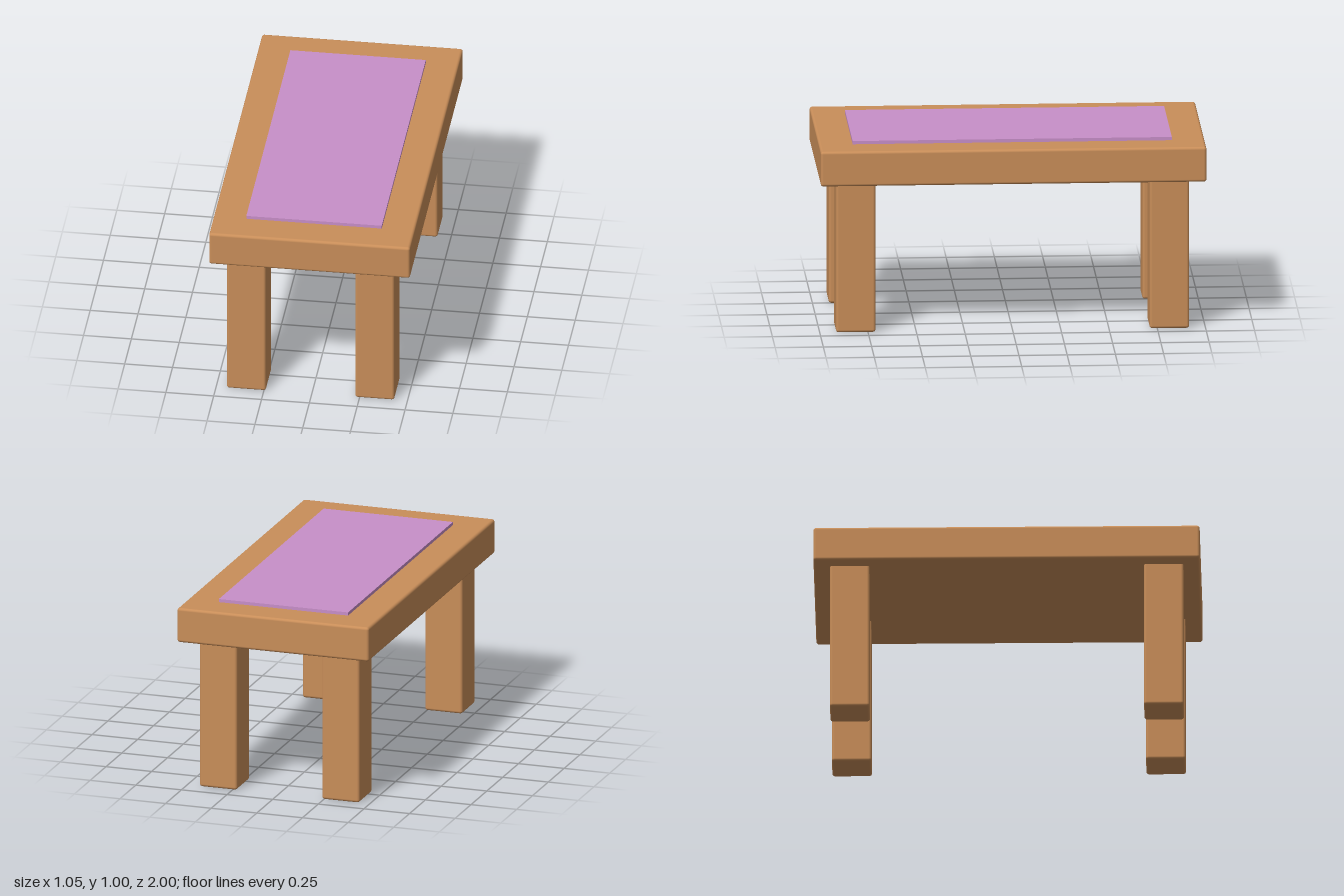
import * as THREE from 'three';
import { RoundedBoxGeometry } from 'three/addons/geometries/RoundedBoxGeometry.js';

export function createModel() {
  const table = new THREE.Group();
  table.name = 'table';
  const wood = new THREE.MeshStandardMaterial({ color: 0xc98e59 });
  const fabric = new THREE.MeshStandardMaterial({ color: 0xc88fc9 });

  const add = (name, geometry, material, x, y, z) => {
    const mesh = new THREE.Mesh(geometry, material);
    mesh.name = name;
    mesh.position.set(x, y, z);
    table.add(mesh);
  };

  // Thick slab with softened edges
  add('tableTop', new RoundedBoxGeometry(1.05, 0.185, 2, 3, 0.014), wood, 0, 0.8905, 0);

  // Thin runner lying on the slab
  add('runner', new THREE.BoxGeometry(0.708, 0.03, 1.655), fabric, 0, 0.985, -0.002);

  // Four square legs, their tops sunk slightly into the slab
  const leg = new RoundedBoxGeometry(0.205, 0.83, 0.205, 3, 0.014);
  for (const [end, z] of [['front', 0.813], ['back', -0.813]]) {
    add(end + 'LeftLeg', leg, wood, 0.329, 0.415, z);
    add(end + 'RightLeg', leg, wood, -0.342, 0.415, z);
  }
  return table;
}
